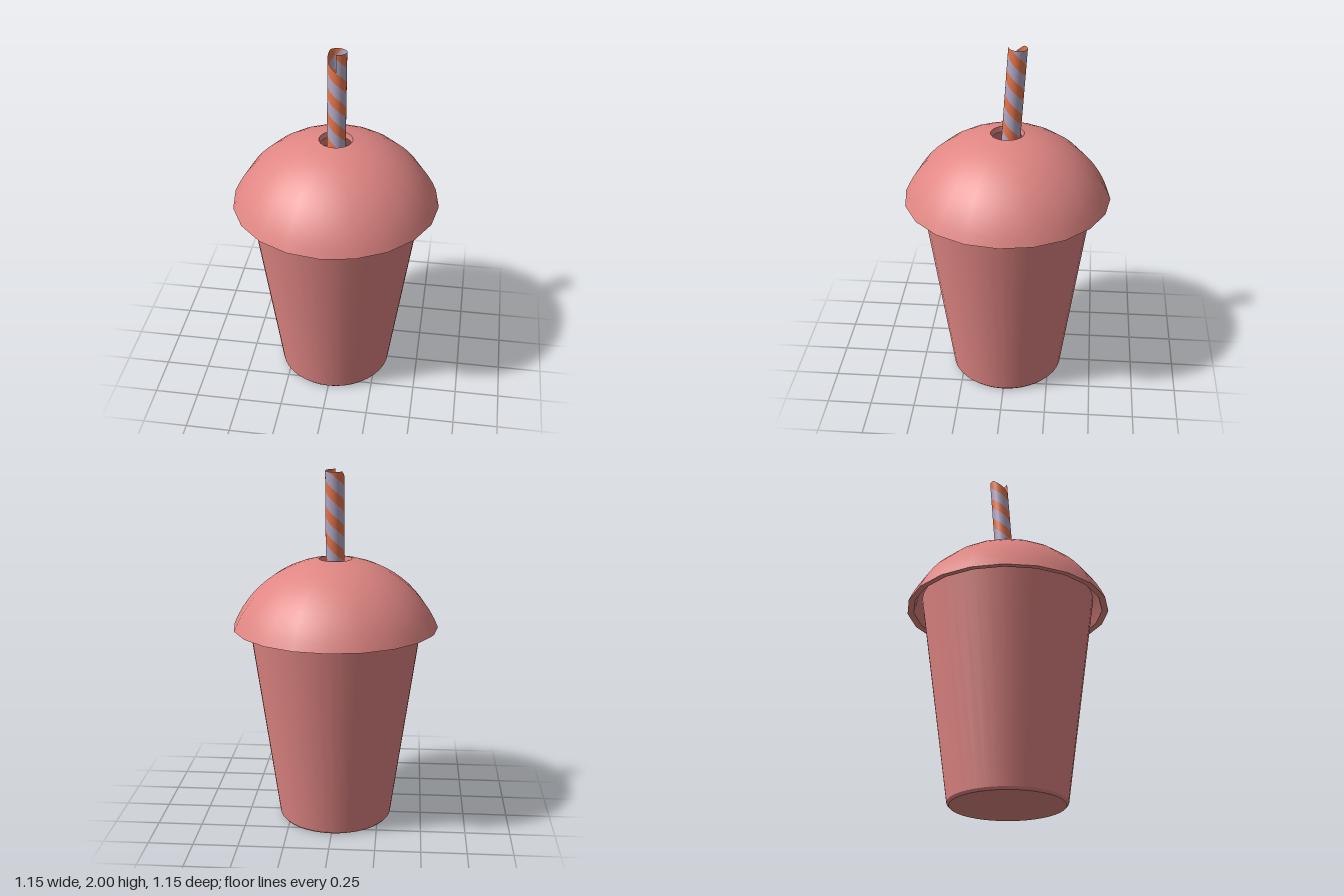
import * as THREE from 'three';
import { mergeGeometries } from 'three/addons/utils/BufferGeometryUtils.js';

const salmon = new THREE.MeshStandardMaterial({ color: 0xe08683 });
salmon.name = 'salmon';
const lavender = new THREE.MeshStandardMaterial({ color: 0xb3a8c4, side: THREE.DoubleSide });
lavender.name = 'lavender';
const orange = new THREE.MeshStandardMaterial({ color: 0xe6744a, side: THREE.DoubleSide });
orange.name = 'orange';

// Revolves several profiles separately, so the edges between them stay sharp
function revolve(name, sides, profiles) {
  const parts = profiles.map((p) =>
    new THREE.LatheGeometry(p.map(([r, y]) => new THREE.Vector2(r, y)), sides));
  const mesh = new THREE.Mesh(mergeGeometries(parts), salmon);
  mesh.name = name;
  return mesh;
}

// Points on a circular arc around height cy, from radius r0 to radius r1
function arc(R, cy, r0, r1, steps) {
  const a0 = Math.asin(r0 / R), a1 = Math.asin(r1 / R);
  return Array.from({ length: steps + 1 }, (_, i) => {
    const a = a0 + ((a1 - a0) * i) / steps;
    return [R * Math.sin(a), cy + R * Math.cos(a)];
  });
}

// Helical bands on an open tube that hangs down from y = 0
function helixBands(name, material, radius, length, pitch, phase, bandHeight) {
  const sides = 32, pos = [], nor = [], idx = [];
  const clampY = (y) => Math.min(0, Math.max(-length, y));
  const count = Math.ceil(length / pitch) + 2;
  for (let k = -2; k < count; k++) {
    const base = pos.length / 3;
    for (let i = 0; i <= sides; i++) {
      const t = (i / sides) * Math.PI * 2;
      const mid = -phase - k * pitch - (pitch * t) / Math.PI;
      for (const y of [mid - bandHeight / 2, mid + bandHeight / 2]) {
        pos.push(radius * Math.sin(t), clampY(y), radius * Math.cos(t));
        nor.push(Math.sin(t), 0, Math.cos(t));
      }
      if (i < sides) {
        const a = base + i * 2;
        idx.push(a, a + 2, a + 1, a + 1, a + 2, a + 3);
      }
    }
  }
  const g = new THREE.BufferGeometry();
  g.setAttribute('position', new THREE.Float32BufferAttribute(pos, 3));
  g.setAttribute('normal', new THREE.Float32BufferAttribute(nor, 3));
  g.setIndex(idx);
  const mesh = new THREE.Mesh(g, material);
  mesh.name = name;
  return mesh;
}

export function createModel() {
  const model = new THREE.Group();
  model.name = 'drinkCup';

  // Tapered hollow cup with a small bevel at the foot
  model.add(revolve('cup', 40, [
    [[0, 0], [0.31, 0]],
    [[0.31, 0], [0.322, 0.014]],
    [[0.322, 0.014], [0.488, 1.19]],
    [[0.488, 1.19], [0.468, 1.19]],
    [[0.468, 1.19], [0.304, 0.025]],
    [[0.304, 0.025], [0, 0.025]],
  ]));

  // Faceted dome lid with a straw hole and a flat lower rim
  const outer = arc(0.617, 0.9, 0.573, 0.092, 12);
  const inner = arc(0.585, 0.9, 0.086, 0.537, 12);
  model.add(revolve('domeLid', 20, [
    outer,
    [outer[outer.length - 1], inner[0]],
    inner,
    [inner[inner.length - 1], outer[0]],
  ]));

  // Leaning striped straw, open at both ends
  const straw = new THREE.Group();
  straw.name = 'straw';
  const pitch = 0.14, stripe = 0.065;
  straw.add(helixBands('strawStripe', orange, 0.051, 1.95, pitch, 0.13, stripe));
  straw.add(helixBands('strawBase', lavender, 0.051, 1.95, pitch, 0.13 + pitch / 2, pitch - stripe));
  straw.position.set(0, 1.9965, -0.055);
  straw.rotation.x = -0.07;
  model.add(straw);

  return model;
}
